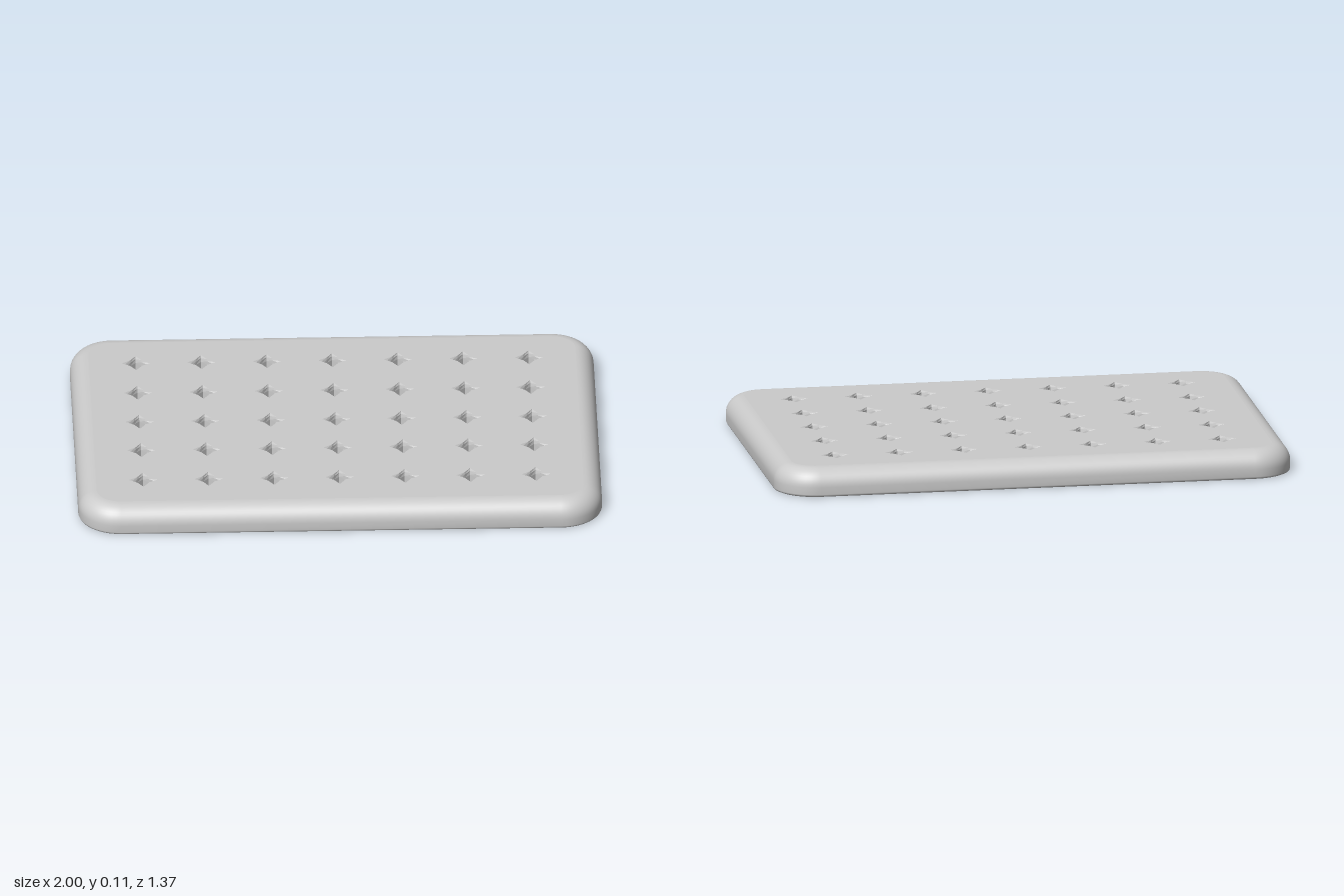
import * as THREE from 'three';
import { mergeGeometries } from 'three/addons/utils/BufferGeometryUtils.js';

const HALF_X = 1, HALF_Z = 0.685, HEIGHT = 0.108, CORNER = 0.16, EDGE = 0.07, BEVEL = 0.01;
const HOLE_X = [-0.75, -0.5, -0.25, 0, 0.25, 0.5, 0.75];
const HOLE_Z = [-0.455, -0.225, 0, 0.22, 0.45];

// Rounded rectangle, inset by d, counterclockwise seen from above (y = -z)
function outline(d) {
  const pts = [], r = CORNER - d, steps = 12;
  const signs = [[1, 1], [-1, 1], [-1, -1], [1, -1]];
  signs.forEach(([sx, sy], k) => {
    for (let i = 0; i <= steps; i++) {
      const a = (k + i / steps) * Math.PI / 2;
      pts.push(new THREE.Vector2(
        sx * (HALF_X - CORNER) + r * Math.cos(a),
        sy * (HALF_Z - CORNER) + r * Math.sin(a)));
    }
  });
  return pts;
}

// Diamond with separate reach for its tips and the middles of its sides
function diamond(x, z, tip, mid) {
  return Array.from({ length: 8 }, (_, i) => {
    const a = i * Math.PI / 4, r = i % 2 ? mid : tip;
    return new THREE.Vector2(x + r * Math.cos(a), -z + r * Math.sin(a));
  });
}

// Closed band of quads through a stack of { pts, y } rings
function loft(rings) {
  const pos = [], index = [], n = rings[0].pts.length;
  for (const { pts, y } of rings) for (const p of pts) pos.push(p.x, y, -p.y);
  for (let j = 0; j < rings.length - 1; j++) {
    for (let i = 0; i < n; i++) {
      const a = j * n + i, b = j * n + (i + 1) % n;
      index.push(a, b, b + n, a, b + n, a + n);
    }
  }
  const geo = new THREE.BufferGeometry();
  geo.setAttribute('position', new THREE.Float32BufferAttribute(pos, 3));
  geo.setIndex(index);
  geo.computeVertexNormals();
  return geo;
}

// Flat perforated face, looking up (dir 1) or down (dir -1)
function face(inset, holes, y, dir) {
  const flip = pts => pts.map(p => new THREE.Vector2(p.x, p.y * dir));
  const shape = new THREE.Shape(flip(outline(inset)));
  shape.holes = holes.map(h => new THREE.Path(flip(h)));
  return new THREE.ShapeGeometry(shape).rotateX(-dir * Math.PI / 2).translate(0, y, 0);
}

export function createModel() {
  const group = new THREE.Group();
  group.name = 'perforatedMat';
  const smooth = new THREE.MeshStandardMaterial({ color: 0xcccccc });
  const flat = new THREE.MeshStandardMaterial({ color: 0xcccccc, flatShading: true });
  const add = (name, geo, mat) => {
    const mesh = new THREE.Mesh(geo, mat);
    mesh.name = name;
    group.add(mesh);
  };

  // Rim: small bevel below, straight band, large rounding above
  const rim = [
    { pts: outline(BEVEL), y: 0 },
    { pts: outline(BEVEL * 0.3), y: BEVEL * 0.3 },
    { pts: outline(0), y: BEVEL },
  ];
  for (let i = 0; i <= 10; i++) {
    const a = i / 10 * Math.PI / 2;
    rim.push({ pts: outline(EDGE * (1 - Math.cos(a))), y: HEIGHT - EDGE * (1 - Math.sin(a)) });
  }
  add('rim', loft(rim), smooth);

  // Drain holes: straight diamond shafts, flared at the top
  const tops = [], bottoms = [], shafts = [];
  for (const z of HOLE_Z) for (const x of HOLE_X) {
    const top = diamond(x, z, 0.054, 0.031), bottom = diamond(x, z, 0.04, 0.0283);
    tops.push(top);
    bottoms.push(bottom);
    shafts.push(loft([
      { pts: top, y: HEIGHT },
      { pts: diamond(x, z, 0.045, 0.0288), y: HEIGHT - 0.008 },
      { pts: bottom, y: HEIGHT - 0.022 },
      { pts: bottom, y: 0 },
    ]));
  }
  add('holeWalls', mergeGeometries(shafts), flat);

  // Flat faces
  add('topFace', face(EDGE, tops, HEIGHT, 1), smooth);
  add('bottomFace', face(BEVEL, bottoms, 0, -1), smooth);
  return group;
}
